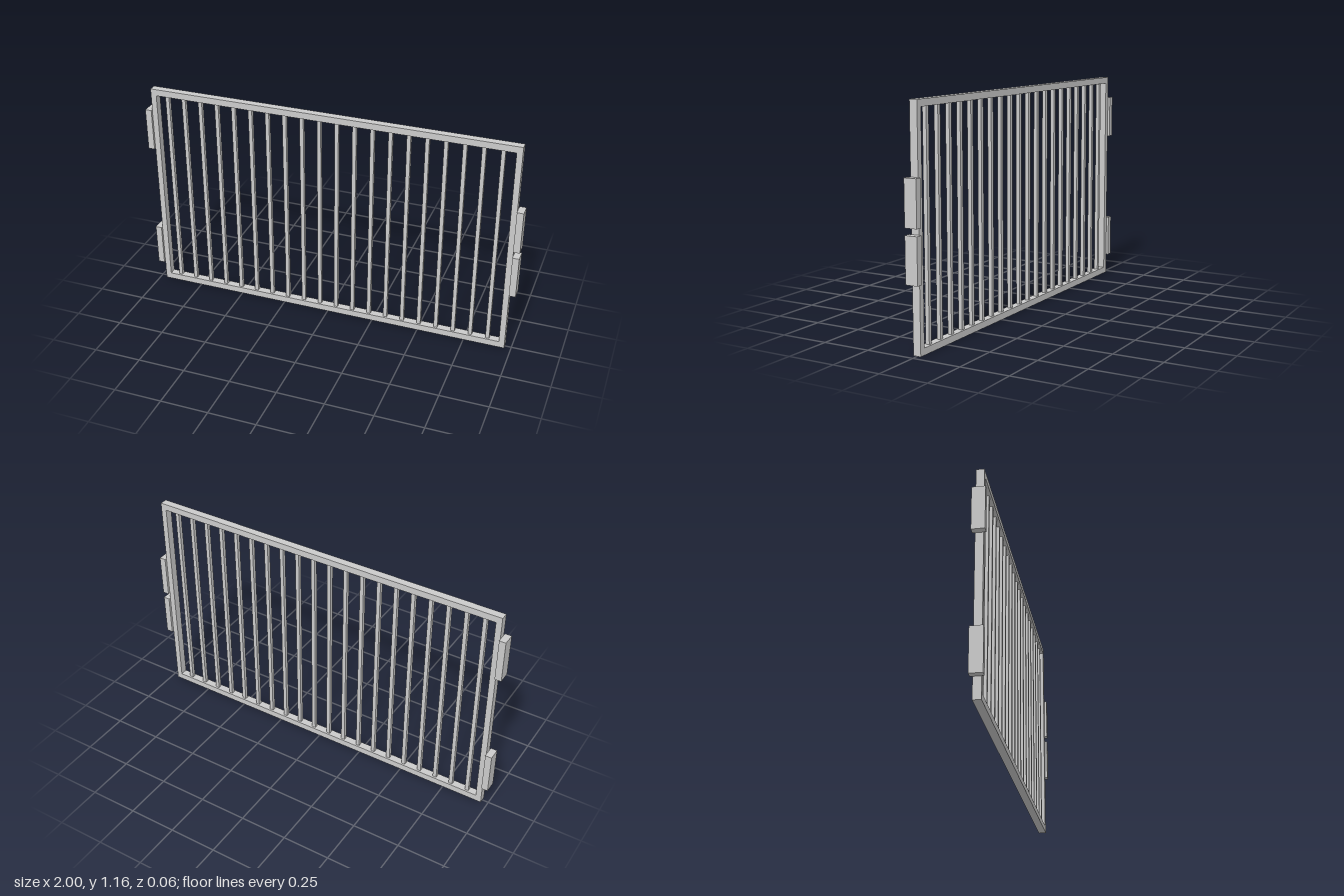
import * as THREE from 'three';

export function createModel() {
  const group = new THREE.Group();
  const material = new THREE.MeshStandardMaterial({ color: 0xcccccc, flatShading: true });

  function box(name, w, h, d, x, y) {
    const mesh = new THREE.Mesh(new THREE.BoxGeometry(w, h, d), material);
    mesh.name = name;
    mesh.position.set(x, y, 0);
    group.add(mesh);
  }

  const halfW = 0.966, height = 1.156, depth = 0.04;
  const stile = 0.03, rail = 0.034;

  // Outer frame: full-width rails with the stiles between them
  box('bottomRail', halfW * 2, rail, depth, 0, rail / 2);
  box('topRail', halfW * 2, rail, depth, 0, height - rail / 2);
  const innerH = height - 2 * rail;
  for (const s of [-1, 1]) {
    box(s > 0 ? 'leftStile' : 'rightStile', stile, innerH, depth, s * (halfW - stile / 2), height / 2);
  }

  // Evenly spaced vertical bars
  const bars = 20, first = -0.879, spacing = 0.0922;
  for (let i = 0; i < bars; i++) {
    box('bar' + (i + 1), 0.02, innerH, 0.02, first + i * spacing, height / 2);
  }

  // Hinge blocks on one side, latch blocks on the other
  const blockW = 1 - halfW, blockH = 0.224, blockD = 0.065;
  for (const y of [0.22, 0.927]) box('hingeBlock', blockW, blockH, blockD, -1 + blockW / 2, y);
  for (const y of [0.445, 0.702]) box('latchBlock', blockW, blockH, blockD, 1 - blockW / 2, y);

  return group;
}
